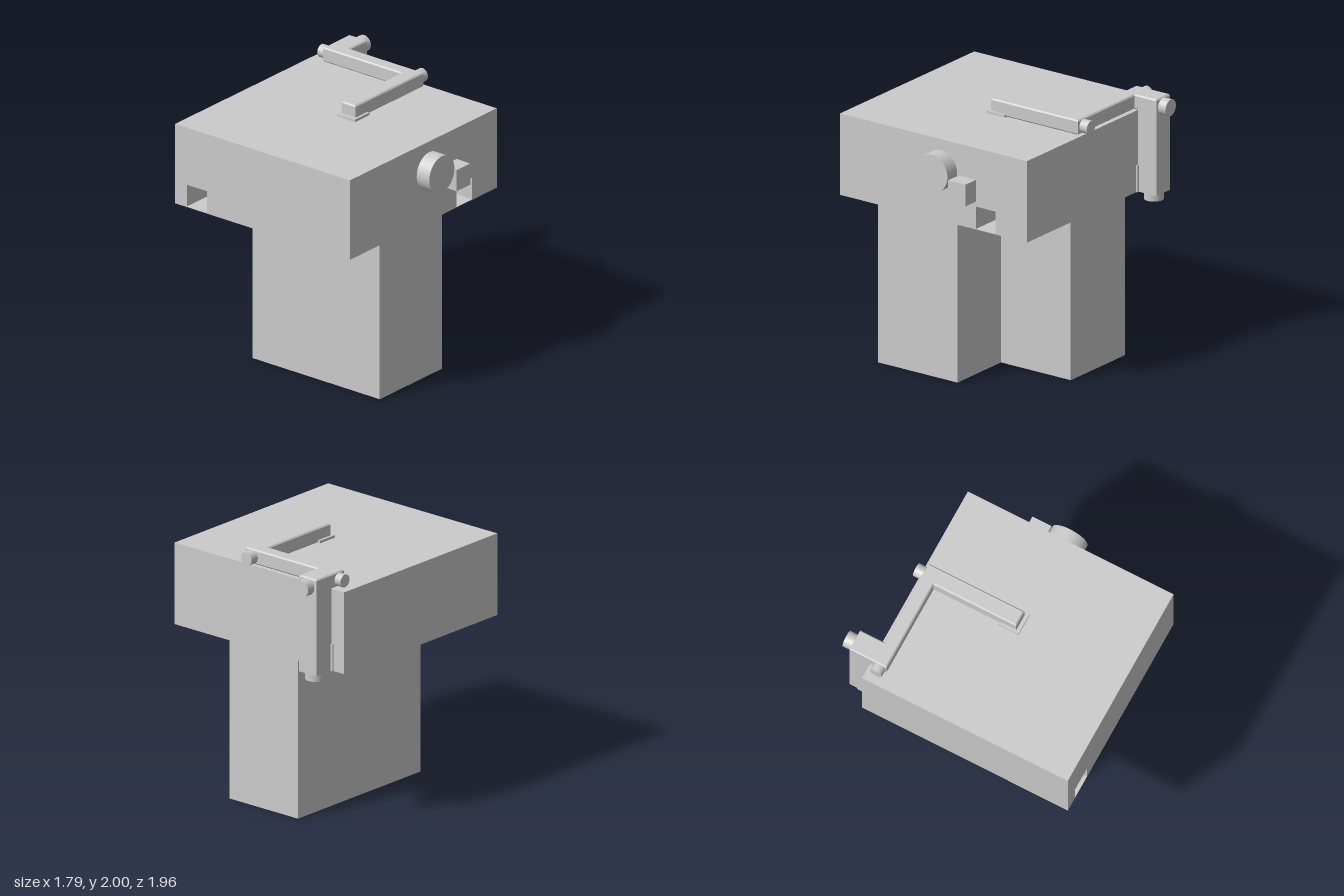
import * as THREE from 'three';

const grey = new THREE.MeshStandardMaterial({ color: 0xcccccc });

export function createModel() {
  const model = new THREE.Group();

  const add = (name, geometry) => {
    const mesh = new THREE.Mesh(geometry, grey);
    mesh.name = name;
    model.add(mesh);
    return mesh;
  };

  // box given by its limits on each axis
  const box = (name, [x0, x1], [y0, y1], [z0, z1]) =>
    add(name, new THREE.BoxGeometry(x1 - x0, y1 - y0, z1 - z0))
      .position.set((x0 + x1) / 2, (y0 + y1) / 2, (z0 + z1) / 2);

  // short round cap along one axis
  const cap = (name, axis, radius, length, x, y, z) => {
    const mesh = add(name, new THREE.CylinderGeometry(radius, radius, length, 32));
    if (axis === 'x') mesh.rotation.z = Math.PI / 2;
    if (axis === 'z') mesh.rotation.x = Math.PI / 2;
    mesh.position.set(x, y, z);
  };

  // plan outline of [x, z] points raised from y0 to y1, with an optional bevel
  const plan = (name, points, y0, y1, bevel = 0) => {
    const shape = new THREE.Shape(points.map(([x, z]) => new THREE.Vector2(x, -z)));
    const geometry = new THREE.ExtrudeGeometry(shape, {
      depth: y1 - y0 - 2 * bevel,
      bevelEnabled: bevel > 0,
      bevelSize: bevel,
      bevelOffset: -bevel,
      bevelThickness: bevel,
      bevelSegments: 1,
    });
    geometry.rotateX(-Math.PI / 2);
    add(name, geometry).position.y = y0 + bevel;
  };

  // lower body, with the back left corner cut away
  plan('lowerBody', [
    [-0.45, 0.63], [0.76, 0.63], [0.76, -0.1],
    [0.22, -0.1], [0.22, -0.74], [-0.45, -0.74],
  ], 0, 1.24);

  // upper body: solid top above a layer crossed by two square channels
  box('upperBody', [-0.9, 0.76], [1.42, 1.88], [-0.74, 0.98]);
  box('upperBodyRightWall', [-0.9, -0.79], [1.24, 1.42], [-0.74, 0.98]);
  box('upperBodyFrontCore', [-0.6, 0.76], [1.24, 1.42], [-0.27, 0.98]);
  box('upperBodyBackCore', [-0.6, 0.76], [1.24, 1.42], [-0.74, -0.45]);
  box('frontChannelFloor', [-0.79, -0.6], [1.24, 1.245], [-0.74, 0.98]);
  box('sideChannelFloor', [-0.6, 0.76], [1.24, 1.245], [-0.45, -0.27]);

  // round knob and square stub on the left side
  cap('sideKnob', 'x', 0.147, 0.12, 0.82, 1.647, 0.05);
  box('sideStub', [0.76, 0.89], [1.46, 1.63], [-0.27, -0.11]);

  // thin tab under the overhang
  box('sideTab', [-0.52, -0.45], [1.2, 1.225], [-0.08, 0.08]);

  // square duct running over the top and down the back
  plan('topDuct', [
    [-0.04, 0.09], [0.09, 0.09], [0.09, -0.71], [-0.61, -0.71],
    [-0.61, -0.91], [-0.78, -0.91], [-0.78, -0.6], [-0.04, -0.6],
  ], 1.88, 1.995, 0.01);
  plan('backDuct', [
    [-0.78, -0.74], [-0.61, -0.74], [-0.61, -0.91], [-0.78, -0.91],
  ], 1.24, 1.9);

  // flanges where the duct enters the body
  box('topFlange', [-0.06, 0.11], [1.88, 1.9], [-0.05, 0.12]);
  box('backFlange', [-0.8, -0.59], [1.24, 1.45], [-0.75, -0.74]);

  // caps on the duct corners
  cap('firstCornerCap', 'z', 0.052, 0.07, 0.022, 1.935, -0.745);
  cap('secondCornerCap', 'x', 0.05, 0.06, -0.81, 1.935, -0.658);
  cap('thirdCornerCap', 'z', 0.064, 0.07, -0.695, 1.925, -0.945);
  cap('bottomCap', 'y', 0.075, 0.06, -0.695, 1.21, -0.825);

  return model;
}
